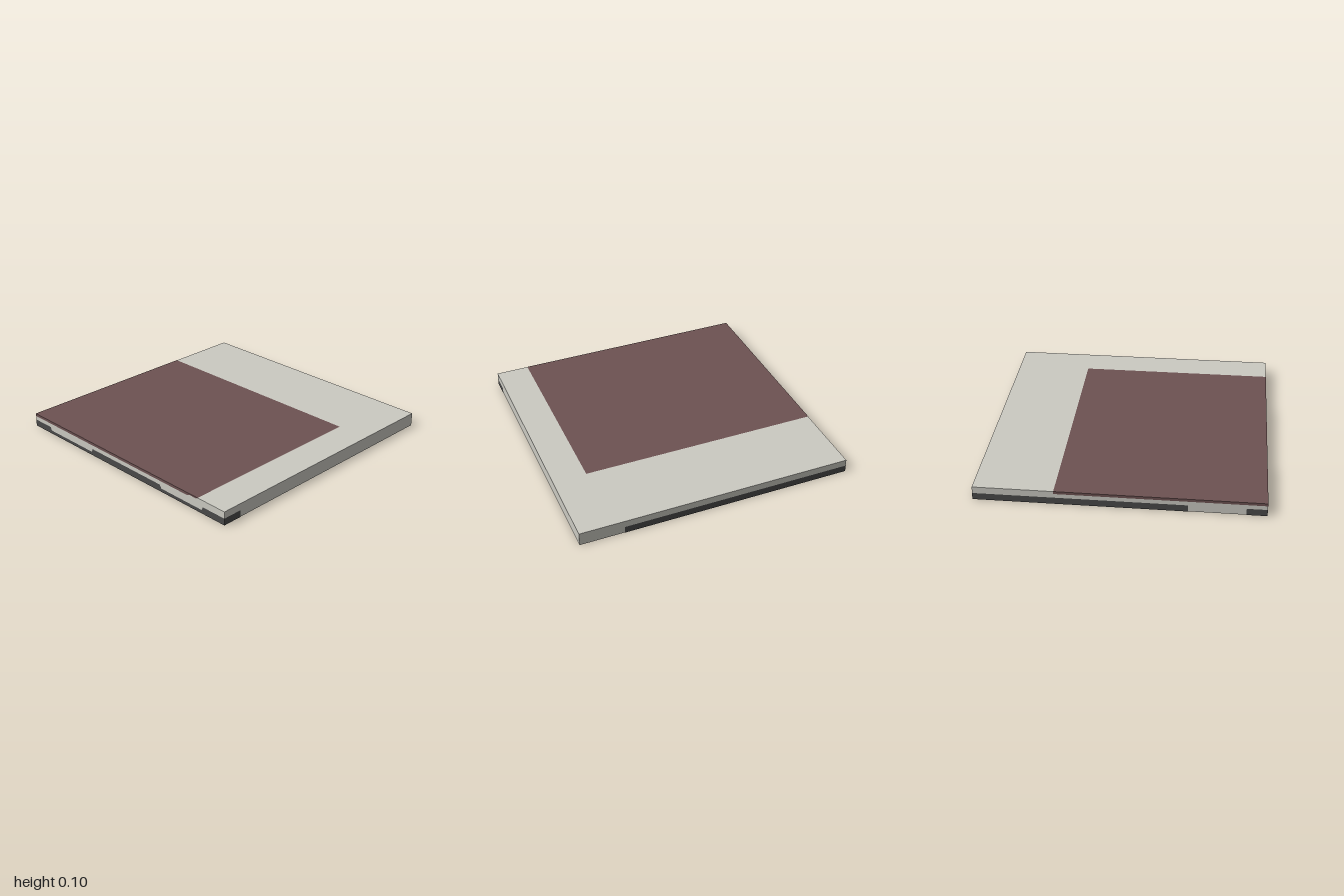
import * as THREE from 'three';

const SIZE = 2, HEIGHT = 0.1, SKIN = 0.001;

function material(name, color) {
  const m = new THREE.MeshStandardMaterial({ color });
  m.name = name;
  return m;
}

export function createModel() {
  const model = new THREE.Group();
  model.name = 'groundTile';
  const stone = material('pale stone', 0xcbcac2);
  const brown = material('reddish brown', 0x6d5252);
  const charcoal = material('charcoal', 0x4a4a4a);

  // Turns and offsets that lay a flat outline onto each side of the slab
  const sides = {
    front: { rotation: [0, 0, 0], position: [0, 0, 1] },      // outline in x, y
    back: { rotation: [0, Math.PI, 0], position: [0, 0, -1] },   // outline in -x, y
    plusX: { rotation: [0, Math.PI / 2, 0], position: [1, 0, 0] }, // outline in -z, y
    minusX: { rotation: [0, -Math.PI / 2, 0], position: [-1, 0, 0] }, // outline in z, y
    top: { rotation: [-Math.PI / 2, 0, 0], position: [0, HEIGHT, 0] }, // outline in x, -z
    bottom: { rotation: [Math.PI / 2, 0, 0], position: [0, 0, 0] },  // outline in x, z
  };

  function patch(name, mat, side, points) {
    const shape = new THREE.Shape(points.map(([u, v]) => new THREE.Vector2(u, v)));
    const mesh = new THREE.Mesh(new THREE.ShapeGeometry(shape), mat);
    mesh.rotation.set(...sides[side].rotation);
    mesh.position.set(...sides[side].position);
    mesh.name = name;
    model.add(mesh);
  }
  const rect = (u0, v0, u1, v1) => [[u0, v0], [u1, v0], [u1, v1], [u0, v1]];

  // Slab, a hair smaller than the patches that cover it
  const slab = new THREE.Mesh(
    new THREE.BoxGeometry(SIZE - 2 * SKIN, HEIGHT - 2 * SKIN, SIZE - 2 * SKIN), stone);
  slab.position.y = HEIGHT / 2;
  slab.name = 'slab';
  model.add(slab);

  // Brown surface layer
  patch('topLayer', brown, 'top', rect(-1, -1, 0.755, 0.44));
  patch('topLayerFrontEdge', brown, 'front',
    [[-1, 0.08], [0.66, 0.08], [0.68, 0.09], [0.74, 0.09], [0.755, HEIGHT], [-1, HEIGHT]]);
  patch('topLayerSideEdge', brown, 'minusX', rect(-0.44, 0.08, 1, HEIGHT));

  // Charcoal layer along the foot of the sides
  patch('frontFoot', charcoal, 'front', [
    [-1, 0], [1, 0], [1, 0.05], [0.805, 0.05], [0.79, 0.025], [0.405, 0.025],
    [0.39, 0.05], [-0.325, 0.05], [-0.335, 0.025], [-0.81, 0.025], [-0.82, 0.05], [-1, 0.05],
  ]);
  patch('rightFoot', charcoal, 'plusX', rect(-1, 0, -0.855, 0.05));
  patch('backFoot', charcoal, 'back', rect(-0.68, 0, 1, 0.05));
  patch('leftFootLong', charcoal, 'minusX', rect(-1, 0, 0.47, 0.05));
  patch('leftFootShort', charcoal, 'minusX', rect(0.86, 0, 1, 0.05));

  // Charcoal areas on the underside
  patch('undersideMain', charcoal, 'bottom', [
    [-1, -1], [0.68, -1], [0.68, 0.475], [-0.13, 0.48], [-0.12, 0.36], [-0.2, 0.35], [-1, 0.44],
  ]);
  patch('undersideFrontStrip', charcoal, 'bottom', [
    [-1, 1], [-1, 0.86], [-0.92, 0.85], [-0.84, 0.92], [-0.85, 0.965], [-0.34, 0.92],
    [-0.28, 0.87], [0.8, 0.85], [0.85, 0.8], [0.89, 0.88], [1, 0.86], [1, 1],
  ]);

  return model;
}
